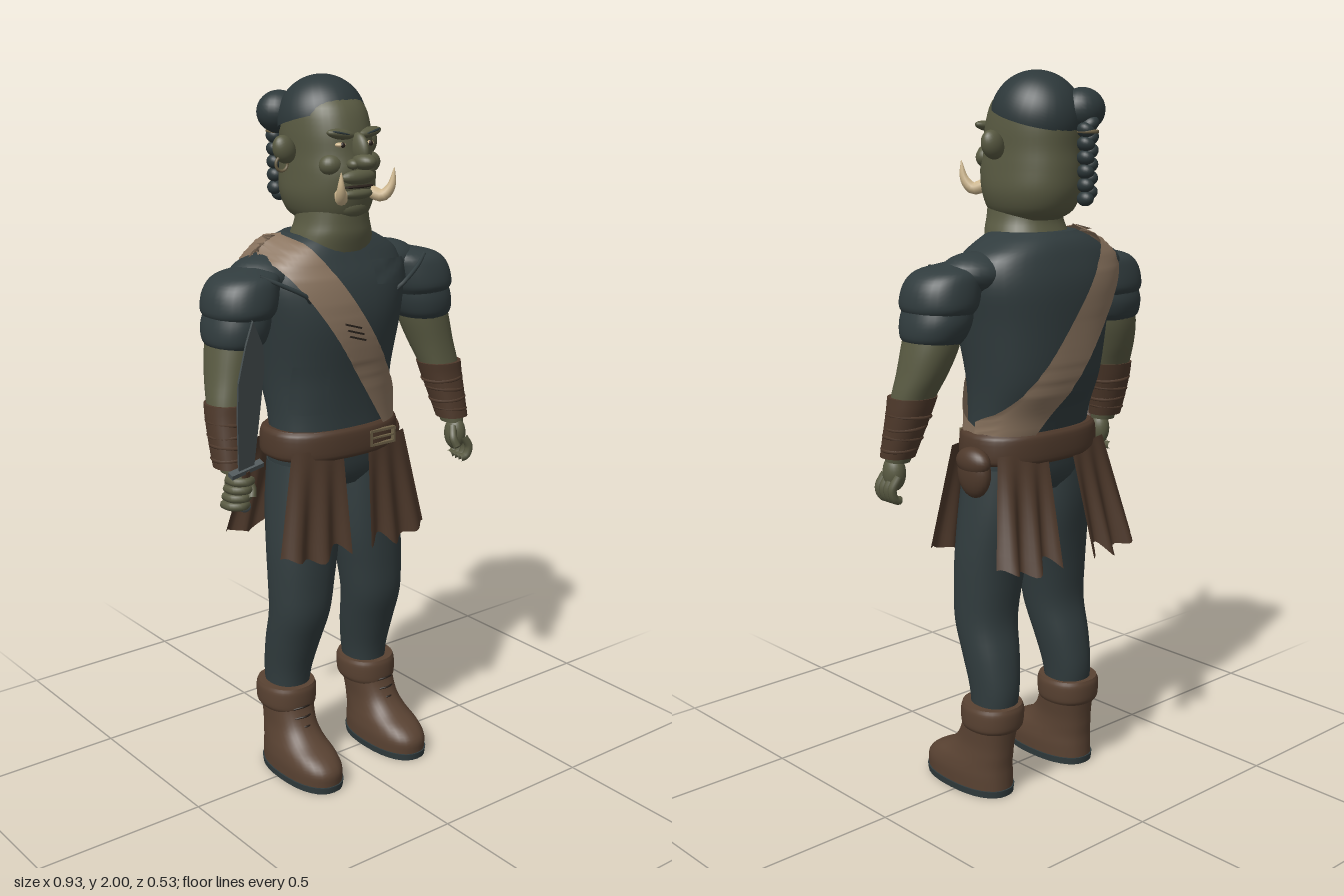
import * as THREE from 'three';

const CX = 0.012, V = (x, y, z) => new THREE.Vector3(x, y, z);
const mat = (name, color, side = THREE.FrontSide) => {
  const m = new THREE.MeshStandardMaterial({ color, side });
  m.name = name;
  return m;
};

// rings are [y, cx, cz, rx, rz], listed from bottom to top
function dense(rings, k = 4) {
  const c = new THREE.CatmullRomCurve3(rings.map(r => V(r[1], r[0], r[2])), false, 'catmullrom', 0.5);
  const s = new THREE.CatmullRomCurve3(rings.map(r => V(r[3], r[4], 0)), false, 'catmullrom', 0.5);
  const n = (rings.length - 1) * k;
  return Array.from({ length: n + 1 }, (_, i) => {
    const p = c.getPoint(i / n), q = s.getPoint(i / n);
    return [p.y, p.x, p.z, q.x, q.y];
  });
}

// smooth body through superelliptic rings, closed at both ends
function loft(rings, p = 2.2, n = 32) {
  const d = dense(rings), pos = [], idx = [];
  const pw = v => Math.sign(v) * Math.abs(v) ** (2 / p);
  const addRing = ([y, cx, cz, rx, rz]) => {
    for (let j = 0; j < n; j++) {
      const a = j / n * Math.PI * 2;
      pos.push(cx + rx * pw(Math.cos(a)), y, cz + rz * pw(Math.sin(a)));
    }
  };
  d.forEach(addRing);
  for (let i = 0; i < d.length - 1; i++) for (let j = 0; j < n; j++) {
    const a = i * n + j, b = i * n + (j + 1) % n;
    idx.push(a, a + n, b, a + n, b + n, b);
  }
  [d[0], d[d.length - 1]].forEach((r, top) => {
    const o = pos.length / 3;
    addRing(r);
    pos.push(r[1], r[0], r[2]);
    for (let j = 0; j < n; j++) {
      const a = o + j, b = o + (j + 1) % n;
      idx.push(o + n, top ? b : a, top ? a : b);
    }
  });
  const g = new THREE.BufferGeometry();
  g.setAttribute('position', new THREE.Float32BufferAttribute(pos, 3));
  g.setIndex(idx);
  g.computeVertexNormals();
  return g;
}

// sheet whose points follow a rule f(u, v)
function sheet(nu, nv, f) {
  const g = new THREE.PlaneGeometry(1, 1, nu, nv), p = g.attributes.position;
  for (let i = 0; i < p.count; i++) p.setXYZ(i, ...f(p.getX(i) + 0.5, p.getY(i) + 0.5));
  g.computeVertexNormals();
  return g;
}

const tube = (pts, r, n = 16) => new THREE.TubeGeometry(new THREE.CatmullRomCurve3(pts.map(p => V(...p))), n, r, 8);
const TORSO = [[1.03, CX, -.05, .187, .115], [1.1, CX, -.06, .187, .125], [1.2, CX, -.075, .197, .148], [1.35, CX, -.07, .222, .165],
  [1.45, CX, -.075, .24, .16], [1.52, CX, -.08, .225, .138], [1.56, CX, -.08, .17, .12], [1.585, CX, -.075, .115, .1]];

export function createModel() {
  const root = new THREE.Group();
  const skin = mat('olive skin', 0x595a42), cloth = mat('dark cloth', 0x313c3e, THREE.DoubleSide), hair = mat('dark hair', 0x2d383a);
  const leather = mat('brown leather', 0x4e392b, THREE.DoubleSide), boot = mat('boot leather', 0x594232);
  const tan = mat('tan hide', 0x8a745f, THREE.DoubleSide), ivory = mat('ivory', 0xcdb68d);
  const metal = mat('steel', 0x4f585a), brass = mat('brass', 0x6e6247), dark = mat('shadow brown', 0x2a221c);
  const add = (name, geo, m, parent = root) => {
    const o = new THREE.Mesh(geo, m);
    o.name = name;
    parent.add(o);
    return o;
  };
  const ball = (name, m, c, r, parent) => {
    const o = add(name, new THREE.SphereGeometry(1, 24, 16), m, parent);
    o.position.set(...c);
    o.scale.set(...r);
    return o;
  };
  const box = (name, m, c, s, rz = 0) => {
    const o = add(name, new THREE.BoxGeometry(...s), m);
    o.position.set(...c);
    o.rotation.z = rz;
    return o;
  };

  // torso, neck and hips
  add('shirt', loft(TORSO, 2.4, 40), cloth);
  add('neck', loft([[1.54, CX, -.06, .125, .11], [1.585, CX, -.045, .112, .105], [1.62, CX, -.04, .1, .1], [1.68, CX, -.04, .09, .1]]), skin);
  add('hips', loft([[.87, CX, -.05, .13, .08], [.92, CX, -.05, .19, .11], [1.04, CX, -.05, .19, .12]], 2.4), cloth);
  add('belt', loft([[.965, CX, -.055, .2, .128], [.98, CX, -.055, .212, .138], [1.035, CX, -.055, .21, .136], [1.05, CX, -.055, .198, .126]], 2.4, 40), leather);

  // cloth lying on the torso
  const body = dense(TORSO, 6);
  const onTorso = (x, y, dir, off) => {
    const yMax = 1.6 - .5 * Math.max(0, Math.abs(x - CX) - .12);
    y = Math.min(y, yMax);
    let i = body.findIndex(r => r[0] >= y);
    if (i < 0) i = body.length - 1;
    const [, cx, cz, rx, rz] = body[i];
    const q = THREE.MathUtils.clamp((x - cx) / (rx + off), -1, 1);
    return [cx + q * (rx + off), y + (y === yMax ? .01 : 0), cz + dir * (rz + off) * (1 - Math.abs(q) ** 2.4) ** (1 / 2.4)];
  };
  const lerp = THREE.MathUtils.lerp;
  add('sash', sheet(10, 80, (u, v) => {
    const k = 1 - Math.abs(2 * v - 1), width = lerp(.122, .145, THREE.MathUtils.smoothstep(v, .45, .6));
    return onTorso(lerp(.176, -.208, k) + (u - .5) * width, lerp(1.04, 1.6, k), v < .5 ? 1 : -1, .013 + .02 * k ** 4);
  }), tan);
  add('chestPatch', sheet(8, 4, (u, v) => onTorso(lerp(.07, .225, u), lerp(1.45, 1.515, v) - u * .015, 1, .007)), cloth);
  add('sidePatch', sheet(6, 6, (u, v) => onTorso(lerp(-.17, -.08, u), lerp(1.1, 1.24, v), 1, .006)), cloth);
  for (let i = 0; i < 3; i++) {
    const [x, y, z] = onTorso(-.03 + i * .008, 1.35 - i * .018, 1, .017);
    box('sashStitch', dark, [x, y, z], [.055, .005, .006], -.3);
  }

  // head
  const HX = .015;
  add('head', loft([[1.615, HX, -.06, .07, .09], [1.64, HX, -.065, .098, .125], [1.69, HX, -.068, .115, .144], [1.75, HX, -.066, .114, .149],
    [1.8, HX, -.07, .111, .142], [1.86, HX, -.075, .11, .138], [1.92, HX, -.08, .1, .12], [1.965, HX, -.085, .065, .08]], 2.2, 40), skin);
  ball('noseTip', skin, [HX, 1.785, .096], [.028, .022, .04]);
  ball('noseBridge', skin, [HX, 1.815, .075], [.018, .045, .036]).rotation.x = -.3;
  ball('lowerLip', skin, [HX, 1.698, .066], [.052, .016, .023]);
  ball('upperLip', skin, [HX, 1.743, .07], [.055, .022, .024]);
  ball('chin', skin, [HX, 1.66, .042], [.05, .03, .03]);
  ball('mouth', dark, [HX, 1.718, .074], [.05, .005, .014]);
  for (const s of [-1, 1]) {
    const x = d => HX + s * d;
    ball('browRidge', skin, [x(.045), 1.855, .053], [.045, .014, .02]).rotation.z = s * .15;
    ball('eyebrow', hair, [x(.048), 1.858, .06], [.034, .005, .014]).rotation.z = s * .2;
    ball('eye', ivory, [x(.047), 1.828, .054], [.016, .007, .014]);
    ball('pupil', dark, [x(.047), 1.828, .065], [.007, .007, .005]);
    ball('cheek', skin, [x(.062), 1.775, .035], [.036, .03, .03]);
    ball('nostril', skin, [x(.025), 1.778, .08], [.016, .014, .02]);
    ball('ear', skin, [x(.14), 1.812, -.07], [.032, .04, .026]).rotation.z = -s * .5;
    // tusk tapering to its tip
    const path = new THREE.CatmullRomCurve3([V(x(.05), 1.7, .06), V(x(.07), 1.69, .088), V(x(.085), 1.715, .106), V(x(.09), 1.765, .113)]);
    const g = new THREE.TubeGeometry(path, 12, .018, 10), p = g.attributes.position;
    for (let i = 0; i < p.count; i++) {
      const t = Math.floor(i / 11) / 12, c = path.getPointAt(t), v = V().fromBufferAttribute(p, i);
      v.sub(c).multiplyScalar(1 - .95 * t * t).add(c);
      p.setXYZ(i, v.x, v.y, v.z);
    }
    g.computeVertexNormals();
    add('tusk', g, ivory);
  }
  add('earring', new THREE.TorusGeometry(.019, .004, 8, 20), brass).position.set(-.137, 1.775, -.065);

  // hair, bun and braid
  const cap = add('hairCap', new THREE.SphereGeometry(1, 32, 20, 0, Math.PI * 2, 0, Math.PI * .5), hair);
  cap.position.set(HX, 1.88, -.09);
  cap.scale.set(.12, .122, .128);
  cap.rotation.x = -.27;
  ball('bun', hair, [-.058, 1.9, -.185], [.064, .058, .058]);
  for (let i = 0; i < 12; i++) ball('braid', hair, [-.04 + (i % 2 ? .007 : -.007), 1.865 - i * .0175, -.224], [.026 - i * .0006, .02, .025]).rotation.z = i % 2 ? .6 : -.6;
  const tie = add('braidTie', new THREE.TorusGeometry(.025, .005, 8, 20), brass);
  tie.position.set(-.04, 1.845, -.224);
  tie.rotation.x = Math.PI / 2;

  for (const s of [-1, 1]) {
    const x = d => CX + s * d, rings = list => list.map(([y, cx, ...r]) => [y, x(cx), ...r]);
    // arm
    ball('shoulder', cloth, [x(.2), 1.485, -.072], [.11, .056, .088]);
    add('sleeveTop', loft(rings([[1.385, .312, -.045, .085, .092], [1.41, .31, -.045, .098, .106], [1.46, .299, -.047, .1, .1], [1.495, .28, -.05, .085, .083], [1.515, .255, -.055, .035, .035]])), cloth);
    add('sleeveCuff', loft(rings([[1.31, .33, -.04, .068, .076], [1.33, .328, -.042, .082, .09], [1.37, .32, -.045, .089, .098], [1.42, .31, -.045, .085, .09]])), cloth);
    add('arm', loft(rings([[.99, .393, .035, .03, .036], [1.08, .388, .01, .045, .048], [1.16, .374, -.008, .058, .054], [1.23, .356, -.028, .064, .068], [1.3, .338, -.04, .07, .078], [1.38, .32, -.045, .07, .08]])), skin);
    add('bracer', loft(rings([[1.005, .396, .03, .046, .046], [1.06, .39, .015, .052, .052], [1.13, .38, -.002, .061, .058], [1.17, .373, -.008, .066, .062]])), leather);
    for (let i = 0; i < 4; i++) {
      const band = add('bracerCord', new THREE.TorusGeometry(.047 + i * .0035, .005, 6, 28), leather);
      band.position.set(x(.394 - i * .0045), 1.03 + i * .03, .023 - i * .008);
      band.rotation.set(Math.PI / 2, s * (i % 2 ? .08 : -.08), 0);
    }
    add('armholeTrim', tube([[x(.285), 1.5, .02], [x(.235), 1.475, .05], [x(.17), 1.44, .07], [x(.15), 1.42, .06]], .006), cloth);
    // hand with curled fingers
    ball('palm', skin, [x(.393), .955, .05], [.03, .05, .034]);
    for (let i = 0; i < 4; i++) {
      const y = .975 - i * .025, z = .068 - i * .008;
      if (s < 0) add('finger', tube([[x(.418), y, z - .02], [x(.415), y, z + .016], [x(.39), y, z + .03], [x(.365), y - .004, z + .012]], .012), skin);
      else add('finger', tube([[x(.4), .95, .08 - i * .019], [x(.418), .915, .085 - i * .019], [x(.41), .888, .082 - i * .018], [x(.393), .882, .076 - i * .016]], .012), skin);
    }
    add('thumb', tube([[x(.375), .98, .06], [x(.362), .95, .078], [x(.368), .925, .088]], .012), skin);

    // leg and boot
    add('leg', loft(rings([[.2, .147, -.068, .056, .06], [.3, .143, -.07, .064, .072], [.4, .138, -.05, .077, .08], [.5, .132, -.024, .088, .084],
      [.6, .125, -.024, .097, .089], [.7, .116, -.03, .105, .095], [.82, .108, -.042, .103, .104], [.95, .1, -.05, .095, .105]])), cloth);
    add('boot', loft(rings([[.018, .158, .02, .078, .154], [.055, .158, .02, .079, .153], [.085, .158, .006, .075, .138], [.115, .157, -.024, .069, .11],
      [.15, .155, -.045, .066, .091], [.2, .152, -.06, .069, .082], [.25, .15, -.068, .071, .082]]), 2.3), boot);
    add('bootCuff', loft(rings([[.195, .151, -.066, .074, .084], [.21, .151, -.068, .081, .09], [.25, .15, -.069, .083, .091], [.268, .15, -.069, .078, .086]])), boot);
    add('sole', loft(rings([[0, .158, .02, .079, .156], [.02, .158, .02, .082, .158]]), 2.3), cloth);
    for (let i = 0; i < 3; i++) add('bootLace', tube([[x(.125), .15 + i * .028, .026 - i * .006], [x(.155), .155 + i * .028, .042 - i * .008], [x(.185), .15 + i * .028, .026 - i * .006]], .003), dark);

    // hanging skirt panels, front and back
    for (const f of [1, -1]) add(f > 0 ? 'frontFlap' : 'backFlap', sheet(24, 8, (u, v) => {
      const d = 1 - v, amp = f > 0 ? .013 : .019, fold = Math.cos(u * Math.PI * 5) * amp * d;
      const zTop = f > 0 ? .068 : -.178, zBot = f > 0 ? .088 : -.24, inner = f > 0 ? .035 : .06;
      const edge = -.01 * Math.cos(u * Math.PI * 5) + .015 * Math.sin(u * 9);
      return [x(lerp(lerp(.045, inner, d), lerp(.2, .26, d), u)), lerp(1.0, .695 + edge, d), lerp(zTop, zBot, d) + f * (fold - .03 * u * u * (1 - d * .6))];
    }), leather);
  }

  // pouch and buckle
  ball('pouch', leather, [.235, .95, -.08], [.032, .07, .058]);
  ball('pouchFlap', leather, [.238, .98, -.08], [.033, .04, .06]);
  for (const s of [-1, 1]) {
    box('buckleBar', brass, [.1, 1.008 + s * .02, .078], [.09, .007, .012]);
    box('buckleSide', brass, [.1 + s * .042, 1.008, .078], [.007, .046, .012]);
  }
  box('bucklePin', brass, [.1, 1.008, .08], [.08, .005, .008]);

  // sword held in the right hand
  const sword = new THREE.Group();
  sword.name = 'sword';
  sword.position.set(-.375, 1.008, .09);
  sword.quaternion.setFromUnitVectors(V(0, 1, 0), V(-.095, .447, .18).normalize());
  root.add(sword);
  const outline = new THREE.Shape([[-.024, 0], [.024, 0], [.035, .2], [.041, .33], [.034, .4], [0, .49], [-.018, .42], [-.036, .31], [-.035, .2]].map(p => new THREE.Vector2(...p)));
  add('blade', new THREE.ExtrudeGeometry(outline, { depth: .006, bevelEnabled: false }), metal, sword).position.z = -.003;
  add('guard', new THREE.BoxGeometry(.1, .014, .02), metal, sword);
  add('grip', new THREE.CylinderGeometry(.012, .012, .13, 12), leather, sword).position.y = -.065;
  ball('pommel', metal, [0, -.135, 0], [.018, .016, .018], sword);

  return root;
}
